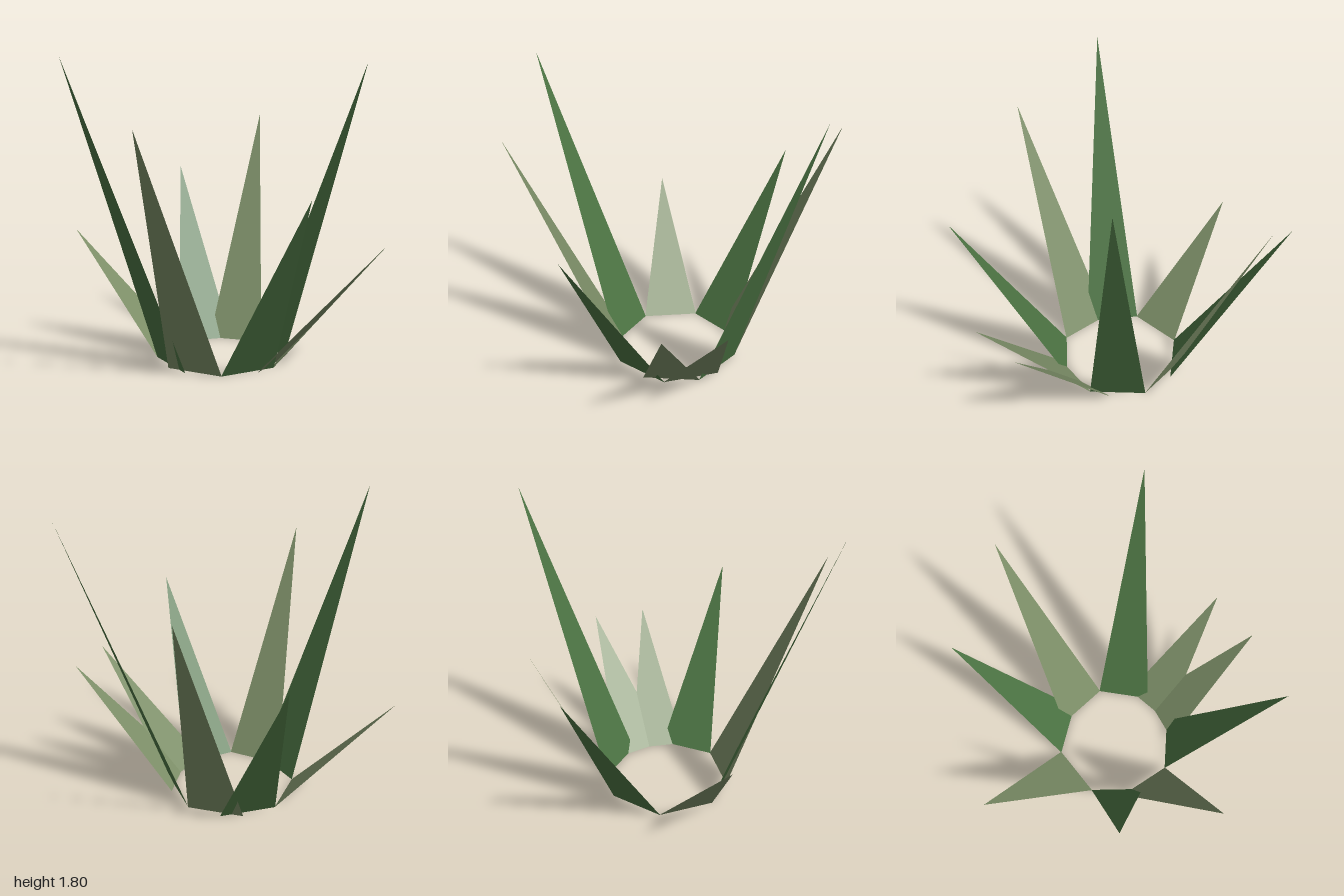
import * as THREE from 'three';

export function createModel() {
  const plant = new THREE.Group();
  plant.name = 'spikyPlant';
  const green = new THREE.MeshStandardMaterial({ color: 0x4c7443, side: THREE.DoubleSide });
  green.name = 'leaf green';
  const sage = new THREE.MeshStandardMaterial({ color: 0x7d8f68, side: THREE.DoubleSide });
  sage.name = 'sage green';

  const centre = new THREE.Vector3(-0.01, 0, -0.015);
  const baseRadius = 0.35;
  const halfWidth = 0.175;

  // One flat triangular blade, its base square to the direction of its tip
  function addBlade(x, y, z, material, name) {
    const tip = new THREE.Vector3(x, y, z);
    const out = tip.clone().sub(centre).setY(0).normalize();
    const side = new THREE.Vector3(out.z, 0, -out.x).multiplyScalar(halfWidth);
    const base = centre.clone().addScaledVector(out, baseRadius);
    const geometry = new THREE.BufferGeometry().setFromPoints([
      base.clone().sub(side), base.clone().add(side), tip,
    ]);
    geometry.computeVertexNormals();
    const blade = new THREE.Mesh(geometry, material);
    blade.name = name;
    plant.add(blade);
  }

  // Blade tips around the ring
  const blades = [
    [0.99, 0.735, -0.02, sage],
    [0.93, 0.735, -0.36, sage],
    [0.6, 1.8, -0.81, green],
    [-0.27, 1.45, -0.985, sage],
    [-0.75, 1.09, -0.69, green],
    [-1.0, 0.735, 0.16, sage],
    [-0.47, 1.8, 0.875, green],
    [0.08, 1.44, 0.98, sage],
    [0.84, 1.09, 0.52, green],
  ];
  blades.forEach(([x, y, z, material], i) => addBlade(x, y, z, material, `blade${i + 1}`));

  return plant;
}
